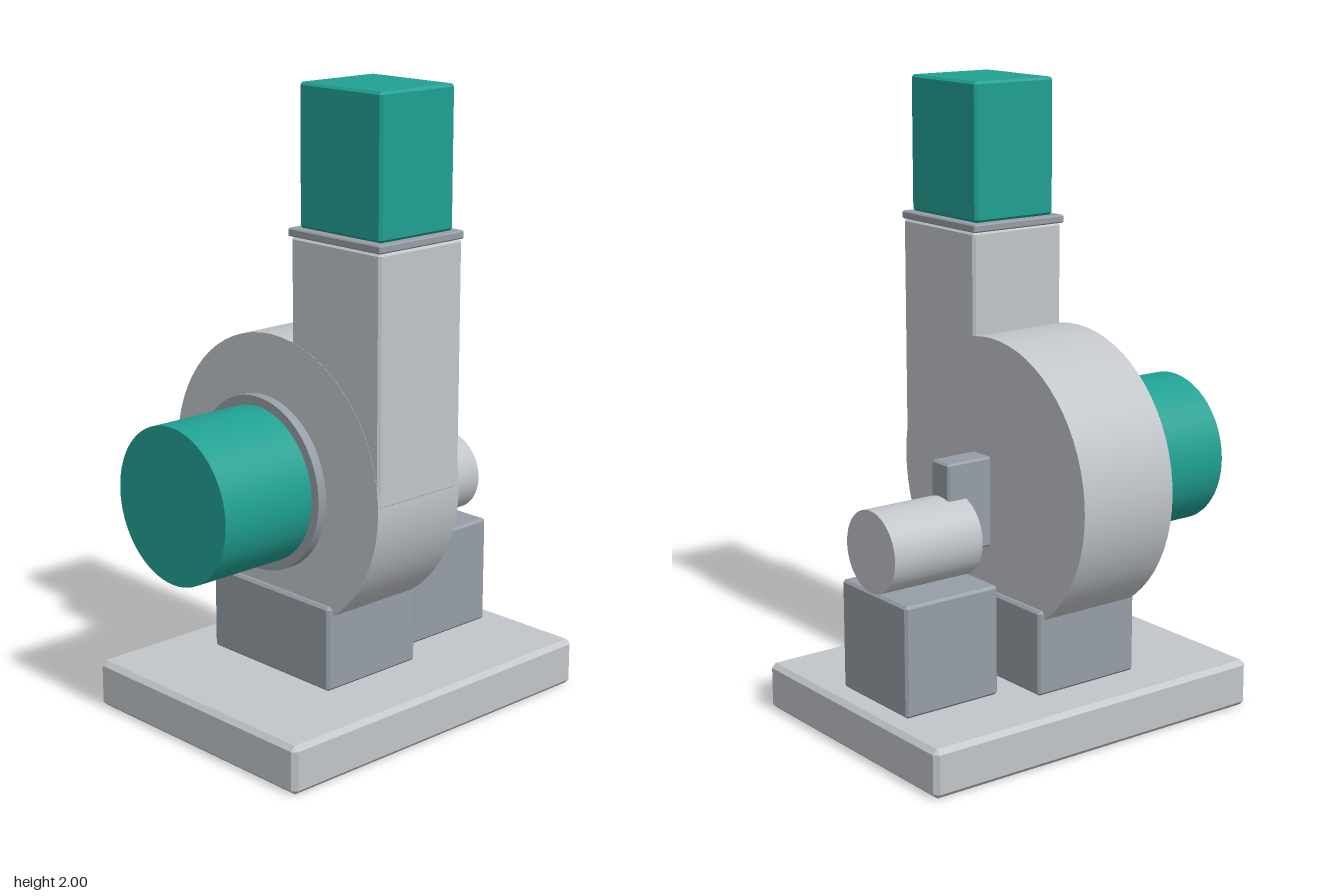
import * as THREE from 'three';
import { ConvexGeometry } from 'three/addons/geometries/ConvexGeometry.js';

const flat = (name, color) => {
  const m = new THREE.MeshStandardMaterial({ color });
  m.name = name;
  return m;
};

export function createModel() {
  const model = new THREE.Group();
  model.name = 'centrifugalFan';
  const lightGrey = flat('light grey casing', 0xc1c5c9);
  const steelGrey = flat('steel grey supports', 0x959da6);
  const teal = flat('teal ducting', 0x20a092);

  const add = (name, geometry, material) => {
    const mesh = new THREE.Mesh(geometry, material);
    mesh.name = name;
    model.add(mesh);
    return mesh;
  };

  // Box with chamfered edges, given by its extents on each axis
  const box = (name, x, y, z, chamfer, material) => {
    const centre = [x, y, z].map(([a, b]) => (a + b) / 2);
    const half = [x, y, z].map(([a, b]) => (b - a) / 2);
    const points = [];
    for (const sx of [-1, 1]) for (const sy of [-1, 1]) for (const sz of [-1, 1]) {
      const s = [sx, sy, sz];
      for (let face = 0; face < 3; face++) {
        points.push(new THREE.Vector3(...s.map((v, i) => v * (half[i] - (i === face ? 0 : chamfer)))));
      }
    }
    add(name, new ConvexGeometry(points), material).position.set(...centre);
  };

  // Cylinder lying along x
  const drum = (name, [x0, x1], y, z, radius, material) => {
    const g = new THREE.CylinderGeometry(radius, radius, x1 - x0, 64);
    g.rotateZ(Math.PI / 2);
    add(name, g, material).position.set((x0 + x1) / 2, y, z);
  };

  // Base plate and pedestals
  box('basePlate', [-0.6, 0.63], [0, 0.153], [-0.443, 0.475], 0.015, lightGrey);
  box('housingPedestal', [-0.25, 0.13], [0.153, 0.425], [-0.287, 0.245], 0.008, steelGrey);
  box('motorPedestal', [0.215, 0.557], [0.153, 0.505], [-0.193, 0.15], 0.008, steelGrey);

  // Fan housing with rising outlet
  drum('fanHousing', [-0.232, 0.112], 0.772, -0.02, 0.46, lightGrey);
  box('outletNeck', [-0.231, 0.111], [0.78, 1.545], [0.065, 0.441], 0.008, lightGrey);
  box('outletFlange', [-0.235, 0.115], [1.545, 1.57], [0.055, 0.443], 0.004, steelGrey);
  box('outletDuct', [-0.211, 0.091], [1.57, 2], [0.08, 0.422], 0.008, teal);

  // Round inlet on the side
  drum('inletDuct', [-0.635, -0.252], 0.775, -0.02, 0.245, teal);
  drum('inletFlange', [-0.298, -0.267], 0.775, -0.02, 0.275, steelGrey);

  // Motor and drive guard
  drum('motor', [0.24, 0.562], 0.635, -0.02, 0.129, lightGrey);
  box('driveGuard', [0.143, 0.307], [0.585, 0.872], [-0.065, 0.023], 0.006, steelGrey);

  return model;
}
